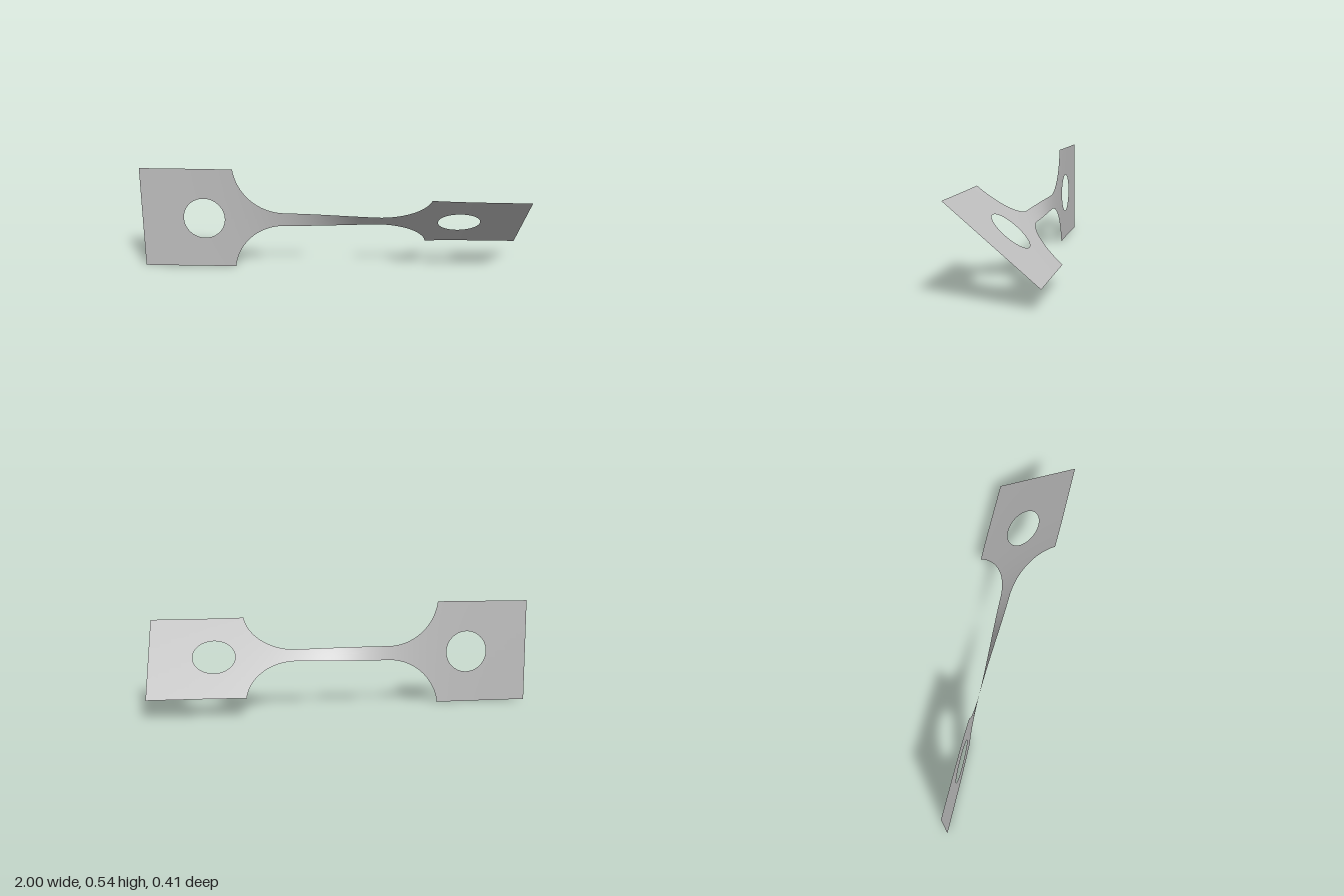
import * as THREE from 'three';

const HALF = 0.271;        // half height of the tabs
const NECK = 0.037;        // half height of the narrow strap
const TAB = 0.51;          // where the tabs meet the fillets
const HOLE_X = 0.67, HOLE_R = 0.109;
const FILLET_R = 0.268, FILLET_X = 0.245;

// Smooth twist along the strap, in radians
const twist = x => THREE.MathUtils.degToRad(50) / (1 + Math.exp(-7 * x));

// Half height of the outline at x
function outer(x) {
  const a = Math.abs(x);
  if (a >= TAB - 1e-6) return HALF;
  if (a <= FILLET_X) return NECK;
  return NECK + FILLET_R - Math.sqrt(FILLET_R ** 2 - (a - FILLET_X) ** 2);
}

// Half height of the round hole at x
function inner(x) {
  const d = Math.abs(x) - HOLE_X;
  return Math.sqrt(Math.max(0, HOLE_R ** 2 - d * d));
}

// n + 1 values from a to b, gathered towards both ends
const span = (a, b, n) => Array.from({ length: n + 1 },
  (_, i) => a + (b - a) * (0.5 - 0.5 * Math.cos(Math.PI * i / n)));

// Twisted sheet made of an upper and a lower band of quads
function sheet(xs, rows = 8) {
  const pos = [], index = [];
  for (const side of [-1, 1]) {
    const base = pos.length / 3;
    xs.forEach((x, i) => {
      const lo = side < 0 ? -outer(x) : inner(x);
      const hi = side < 0 ? -inner(x) : outer(x);
      const a = twist(x);
      for (let j = 0; j <= rows; j++) {
        const v = lo + (hi - lo) * j / rows;
        pos.push(x, HALF + v * Math.cos(a), v * Math.sin(a));
        if (i && j) {
          const d = base + i * (rows + 1) + j, c = d - 1;
          const b = d - rows - 1, e = b - 1;
          index.push(e, c, d, e, d, b);
        }
      }
    });
  }
  const g = new THREE.BufferGeometry();
  g.setAttribute('position', new THREE.Float32BufferAttribute(pos, 3));
  g.setIndex(index);
  g.computeVertexNormals();
  return g;
}

export function createModel() {
  const metal = new THREE.MeshStandardMaterial({ color: 0xc0c0c0, side: THREE.DoubleSide });
  metal.name = 'light grey metal';
  const group = new THREE.Group();
  group.name = 'twistedStrap';

  const add = (name, xs) => {
    const mesh = new THREE.Mesh(sheet(xs), metal);
    mesh.name = name;
    group.add(mesh);
  };

  // Square end tabs, each with a round hole
  const tab = [
    ...span(TAB, HOLE_X - HOLE_R, 4),
    ...span(HOLE_X - HOLE_R, HOLE_X + HOLE_R, 40).slice(1),
    ...span(HOLE_X + HOLE_R, 1, 6).slice(1),
  ];
  add('leftTab', tab);
  add('rightTab', tab.map(x => -x).reverse());

  // Narrow twisting neck with curved fillets at both ends
  add('neck', [
    ...span(-TAB, -FILLET_X, 28),
    ...span(-FILLET_X, FILLET_X, 32).slice(1),
    ...span(FILLET_X, TAB, 28).slice(1),
  ]);
  return group;
}
